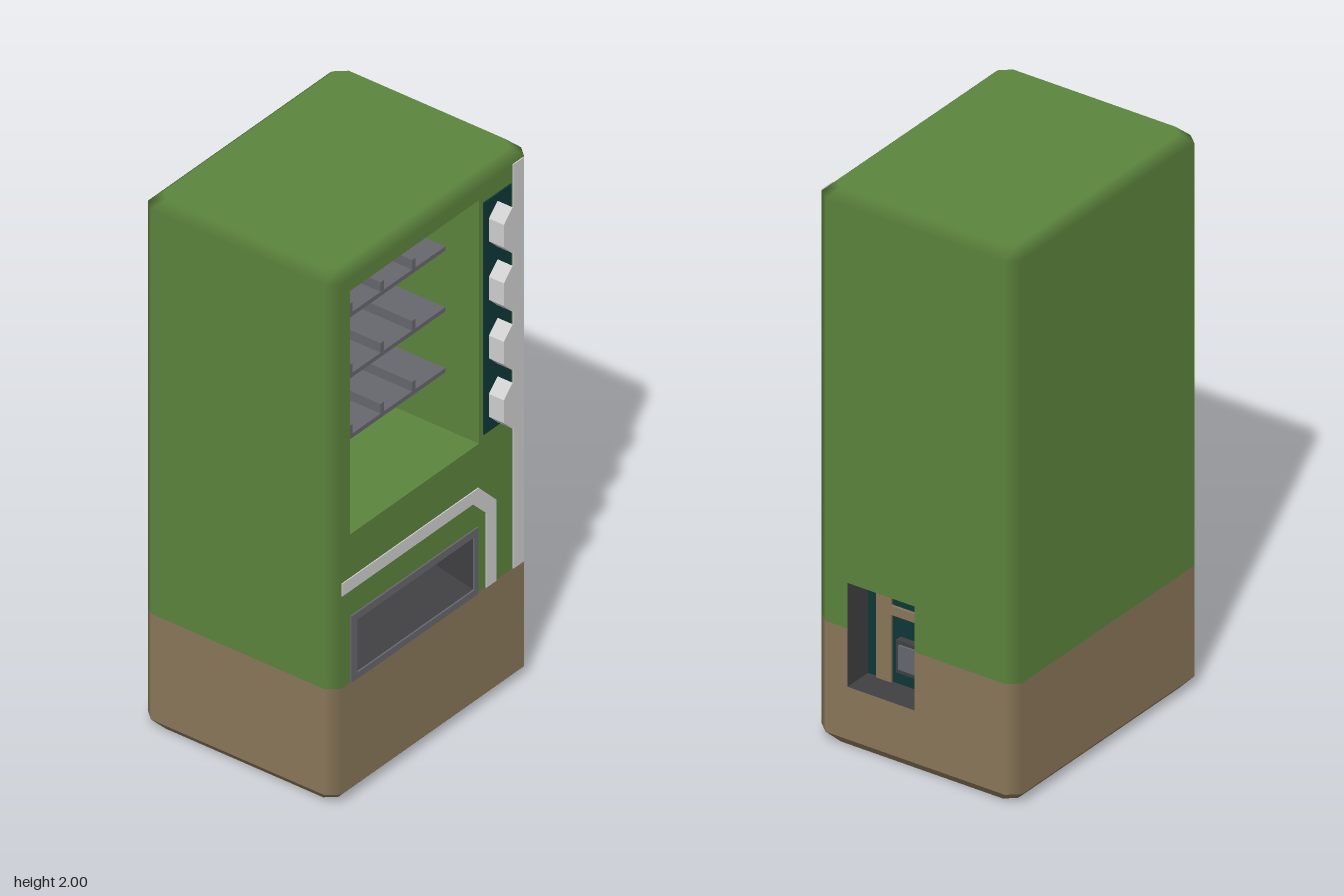
import * as THREE from 'three';

const mat = (name, color) => {
  const m = new THREE.MeshStandardMaterial({ color });
  m.name = name;
  return m;
};

export function createModel() {
  const green = mat('green', 0x5c843d), brown = mat('brown', 0x8a7759), light = mat('lightGrey', 0xd0d0d0);
  const teal = mat('teal', 0x0e3738), grey = mat('grey', 0x66676e), dark = mat('darkGrey', 0x404042);
  const black = mat('black', 0x0c0c0c);

  const root = new THREE.Group();
  root.name = 'vendingMachine';
  const FRONT = 0.355, BACK = -0.42, SPLIT = 0.44, LOW = 0.04, HIGH = 1.965;
  const midZ = (FRONT + BACK) / 2;

  const add = (name, geo, material) => {
    const mesh = new THREE.Mesh(geo, material);
    mesh.name = name;
    root.add(mesh);
    return mesh;
  };
  // box from its lower and upper corners
  const box = (name, x0, x1, y0, y1, z0, z1, m) => add(name,
    new THREE.BoxGeometry(x1 - x0, y1 - y0, z1 - z0)
      .translate((x0 + x1) / 2, (y0 + y1) / 2, (z0 + z1) / 2), m);
  const poly = pts => new THREE.Shape(pts.map(p => new THREE.Vector2(...p)));
  const rect = (x0, x1, y0, y1) => poly([[x0, y0], [x1, y0], [x1, y1], [x0, y1]]);
  const withHoles = (shape, ...holes) => { shape.holes.push(...holes); return shape; };
  const plate = (name, shape, depth, m) => add(name,
    new THREE.ExtrudeGeometry(shape, { depth, bevelEnabled: false }).translate(0, 0, FRONT), m);

  // inward-facing faces of a box; faces: 0 +x, 1 -x, 2 +y, 3 -y, 4 +z, 5 -z
  const pocket = (name, [x0, x1, y0, y1, z0, z1], faces, m, warp) => {
    const g = new THREE.BoxGeometry(x1 - x0, y1 - y0, z1 - z0)
      .translate((x0 + x1) / 2, (y0 + y1) / 2, (z0 + z1) / 2);
    const idx = Array.from(g.index.array);
    g.setIndex(faces.flatMap(f => idx.slice(f * 6, f * 6 + 6).reverse()));
    g.clearGroups();
    const p = g.attributes.position;
    if (warp) for (let i = 0; i < p.count; i++) p.setY(i, warp(p.getX(i), p.getY(i), p.getZ(i)));
    const flat = g.toNonIndexed();
    flat.computeVertexNormals();
    return add(name, flat, m);
  };

  // Cabinet footprint: chamfered rectangle, each point with its side normal
  const foot = [
    [-0.465, FRONT, 0, 1], [0.465, FRONT, 0, 1], [0.5, 0.315, 1, 0], [0.5, -0.38, 1, 0],
    [0.465, BACK, 0, -1], [-0.465, BACK, 0, -1], [-0.5, -0.38, -1, 0], [-0.5, 0.315, -1, 0],
  ];
  const ring = (y, inset, up) => foot.map(([x, z, nx, nz]) => ({
    p: [x * (inset ? 0.93 : 1), y, inset ? midZ + (z - midZ) * 0.905 : z],
    n: up ? [0, 1, 0] : [nx, 0, nz],
  }));
  const band = (name, lo, hi, m, { skip = [], flat = false } = {}) => {
    const pos = [], nor = [];
    for (let i = 0; i < 8; i++) {
      if (skip.includes(i)) continue;
      const j = (i + 1) % 8;
      for (const v of [lo[i], lo[j], hi[j], lo[i], hi[j], hi[i]]) { pos.push(...v.p); nor.push(...v.n); }
    }
    const g = new THREE.BufferGeometry();
    g.setAttribute('position', new THREE.Float32BufferAttribute(pos, 3));
    g.setAttribute('normal', new THREE.Float32BufferAttribute(nor, 3));
    if (flat) g.computeVertexNormals();
    return add(name, g, m);
  };
  const bottom = ring(0, true), low = ring(LOW), split = ring(SPLIT), high = ring(HIGH), top = ring(2, true, true);
  band('baseChamfer', bottom, low, brown, { flat: true });
  band('baseWalls', low, split, brown, { skip: [0, 2] });
  band('cabinetWalls', split, high, green, { skip: [0, 2] });
  band('roofEdge', high, top, green);
  add('roof', new THREE.ShapeGeometry(poly(top.map(v => [v.p[0], -v.p[2]])))
    .rotateX(-Math.PI / 2).translate(0, 2, 0), green);
  add('underside', new THREE.ShapeGeometry(poly(bottom.map(v => [v.p[0], v.p[2]])))
    .rotateX(Math.PI / 2), brown);

  // Front face with display and tray openings
  const display = [-0.42, 0.235, 1.0, 1.92], tray = [-0.39, 0.205, 0.465, 0.665];
  add('frontFace', new THREE.ShapeGeometry(withHoles(rect(-0.465, 0.465, SPLIT, HIGH),
    rect(...display), rect(...tray))).translate(0, 0, FRONT), green);
  add('frontBase', new THREE.ShapeGeometry(rect(-0.465, 0.465, LOW, SPLIT)).translate(0, 0, FRONT), brown);

  // Left side face, notched around the coin return
  const s0 = -0.315, s1 = 0.38, n0 = -0.23, n1 = 0.03, nLow = 0.23, nHigh = 0.605;
  const sideFace = (name, pts, m) => add(name,
    new THREE.ShapeGeometry(poly(pts)).rotateY(Math.PI / 2).translate(0.5, 0, 0), m);
  sideFace('sideFace', [[s0, SPLIT], [n0, SPLIT], [n0, nHigh], [n1, nHigh], [n1, SPLIT],
    [s1, SPLIT], [s1, HIGH], [s0, HIGH]], green);
  sideFace('sideBase', [[s0, LOW], [s1, LOW], [s1, SPLIT], [n1, SPLIT], [n1, nLow],
    [n0, nLow], [n0, SPLIT], [s0, SPLIT]], brown);

  // Display compartment with divided shelves
  const rear = -0.05;
  pocket('displayCompartment', [...display, rear, FRONT], [0, 1, 2, 3, 5], green);
  for (const y of [1.69, 1.46, 1.23]) {
    box('shelf', display[0], display[1], y - 0.016, y, rear, 0.22, grey);
    for (const x of [-0.245, -0.085, 0.075])
      box('shelfDivider', x - 0.009, x + 0.009, y, y + 0.036, rear, 0.22, grey);
  }

  // Collection tray with sloping floor
  const slope = (x, y, z) => (y < 0.5 && z < 0.3 ? 0.51 : y);
  const trayBox = [...tray, 0.14, FRONT];
  pocket('trayWalls', trayBox, [0, 1, 3], dark, slope);
  pocket('trayBack', trayBox, [2, 5], black, slope);
  plate('trayFrame', withHoles(rect(-0.42, 0.225, 0.441, 0.692), rect(...tray)), 0.006, grey);

  // Selection panel and hexagonal buttons
  plate('selectionPanel', rect(0.255, 0.395, 1.025, 1.9), 0.005, teal);
  for (let i = 0; i < 4; i++) {
    const x = 0.323, y = 1.787 - i * 0.221, w = 0.044, h = 0.087, k = 0.043;
    plate('button', poly([[x, y - h], [x + w, y - k], [x + w, y + k],
      [x, y + h], [x - w, y + k], [x - w, y - k]]), 0.065, light);
  }

  // Painted stripes
  plate('tallStripe', rect(0.405, 0.46, SPLIT, 1.967), 0.004, light);
  plate('bentStripe', poly([[-0.465, 0.79], [0.2, 0.79], [0.267, 0.723], [0.267, SPLIT],
    [0.32, SPLIT], [0.32, 0.745], [0.23, 0.837], [-0.465, 0.837]]), 0.004, light);

  // Coin return in the left side
  const inner = 0.39;
  const niche = [inner, 0.5, nLow, nHigh, -n1, -n0];
  const lowerTop = (x, y) => (y > 0.5 && x < 0.45 ? 0.575 : y);
  pocket('coinReturnWalls', niche, [2, 3, 4, 5], dark, lowerTop);
  pocket('coinReturnBack', niche, [1], teal, lowerTop);
  box('coinReturnPost', inner, inner + 0.009, nLow, 0.573, 0.135, 0.192, brown);
  box('coinReturnBar', inner, inner + 0.009, 0.475, 0.508, -n1, 0.135, brown);
  box('coinSlotFrame', inner, inner + 0.025, 0.285, 0.403, -0.01, 0.103, dark);
  box('coinSlotButton', inner + 0.025, inner + 0.032, 0.302, 0.39, 0.002, 0.09, grey);

  return root;
}
